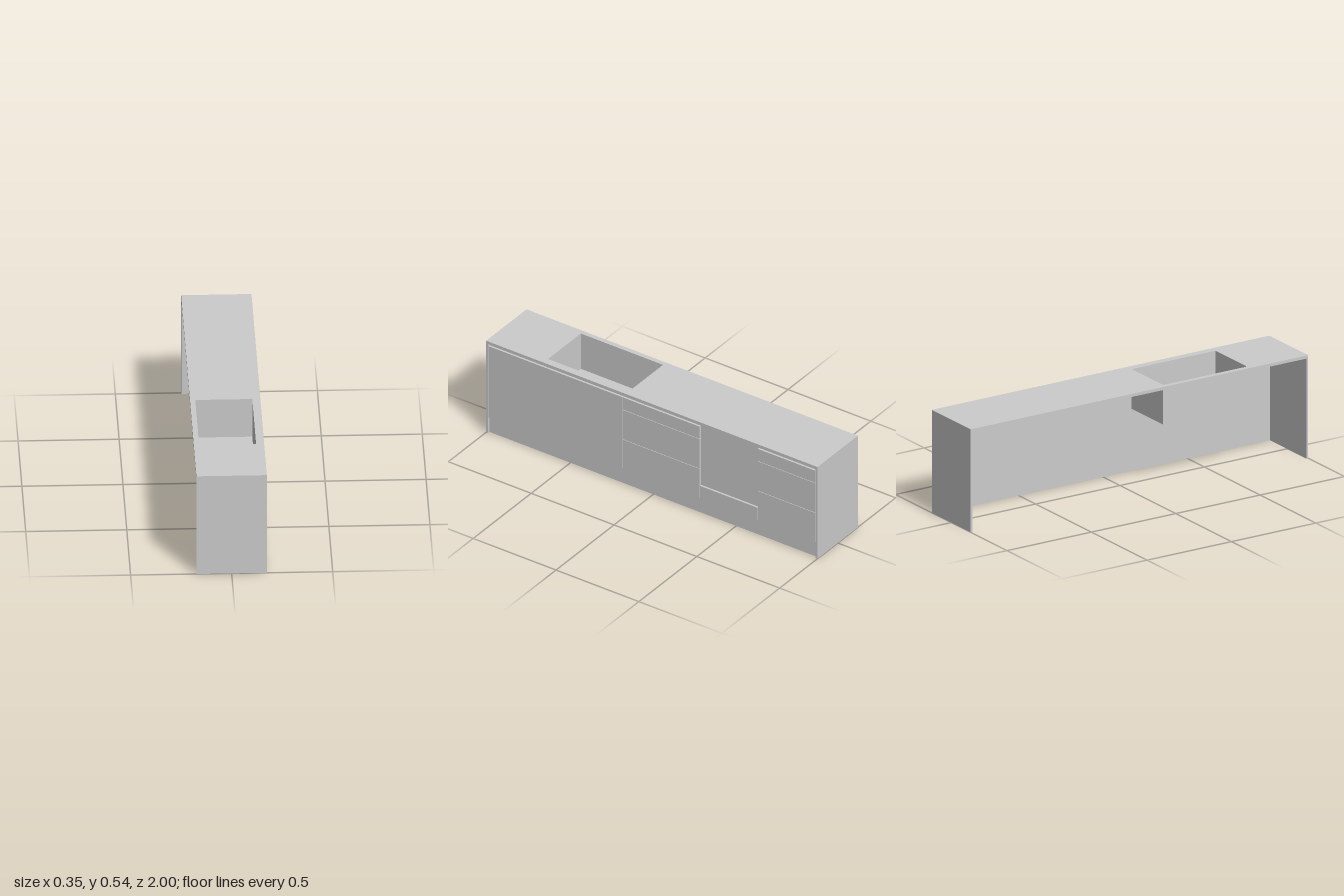
import * as THREE from 'three';

const material = new THREE.MeshStandardMaterial({ color: 0xcccccc, flatShading: true, side: THREE.DoubleSide });

// Overall size: half depth, half length, underside and top of the worktop
const HX = 0.174, HZ = 1, UNDER = 0.524, TOP = 0.54;
const PANEL = 0.011;

// Adds a box given by its limits on each axis
function addBox(group, name, [x0, x1], [y0, y1], [z0, z1]) {
  const mesh = new THREE.Mesh(new THREE.BoxGeometry(x1 - x0, y1 - y0, z1 - z0), material);
  mesh.position.set((x0 + x1) / 2, (y0 + y1) / 2, (z0 + z1) / 2);
  mesh.name = name;
  group.add(mesh);
  return mesh;
}

function rectangle(PathType, [x0, x1], [z0, z1]) {
  return new PathType([[x0, z0], [x1, z0], [x1, z1], [x0, z1]].map(p => new THREE.Vector2(...p)));
}

export function createModel() {
  const model = new THREE.Group();
  model.name = 'kitchenCounter';

  // Worktop with the sink cut-out
  const sinkX = [-0.148, 0.134], sinkZ = [0.158, 0.654];
  const outline = rectangle(THREE.Shape, [-HX, HX], [-HZ, HZ]);
  outline.holes.push(rectangle(THREE.Path, sinkX, sinkZ));
  const slab = new THREE.ExtrudeGeometry(outline, { depth: TOP - UNDER, bevelEnabled: false });
  slab.rotateX(Math.PI / 2);
  const worktop = new THREE.Mesh(slab, material);
  worktop.position.y = TOP;
  worktop.name = 'worktop';
  model.add(worktop);

  // Thin-walled basin: a box without its top face
  const basin = addBox(model, 'sinkBasin', sinkX, [0.332, TOP - 0.001], sinkZ);
  const faces = Array.from(basin.geometry.index.array);
  faces.splice(12, 6);
  basin.geometry.setIndex(faces);
  basin.geometry.clearGroups();

  // End panels
  for (const s of [-1, 1]) {
    const z = [s * HZ, s * (HZ - PANEL)].sort((a, b) => a - b);
    addBox(model, s > 0 ? 'frontEndPanel' : 'backEndPanel', [-HX, HX], [0, UNDER], z);
  }

  // Continuous sheet behind the fronts, also the toe kick and the recessed bay
  const inner = HZ - PANEL;
  addBox(model, 'backingAndToeKick', [0.15, 0.161], [0, UNDER], [-inner, inner]);

  // Door and drawer fronts: each column has its z limits and the heights of its joints
  const gap = 0.0012;
  const columns = [
    { name: 'door', z: [0.64, 0.988], y: [0.09, 0.513] },
    { name: 'door', z: [0.408, 0.64], y: [0.09, 0.513] },
    { name: 'door', z: [0.177, 0.408], y: [0.09, 0.513] },
    { name: 'drawerFront', z: [-0.288, 0.177], y: [0.09, 0.264, 0.439, 0.513] },
    { name: 'lowerFiller', z: [-0.637, -0.288], y: [0.09, 0.165] },
    { name: 'drawerFront', z: [-0.986, -0.637], y: [0.09, 0.264, 0.439, 0.513] },
  ];
  const fronts = new THREE.Group();
  fronts.name = 'cabinetFronts';
  for (const { name, z, y } of columns) {
    for (let i = 0; i < y.length - 1; i++) {
      addBox(fronts, name, [0.161, 0.172], [y[i] + gap, y[i + 1] - gap], [z[0] + gap, z[1] - gap]);
    }
  }
  model.add(fronts);

  return model;
}
